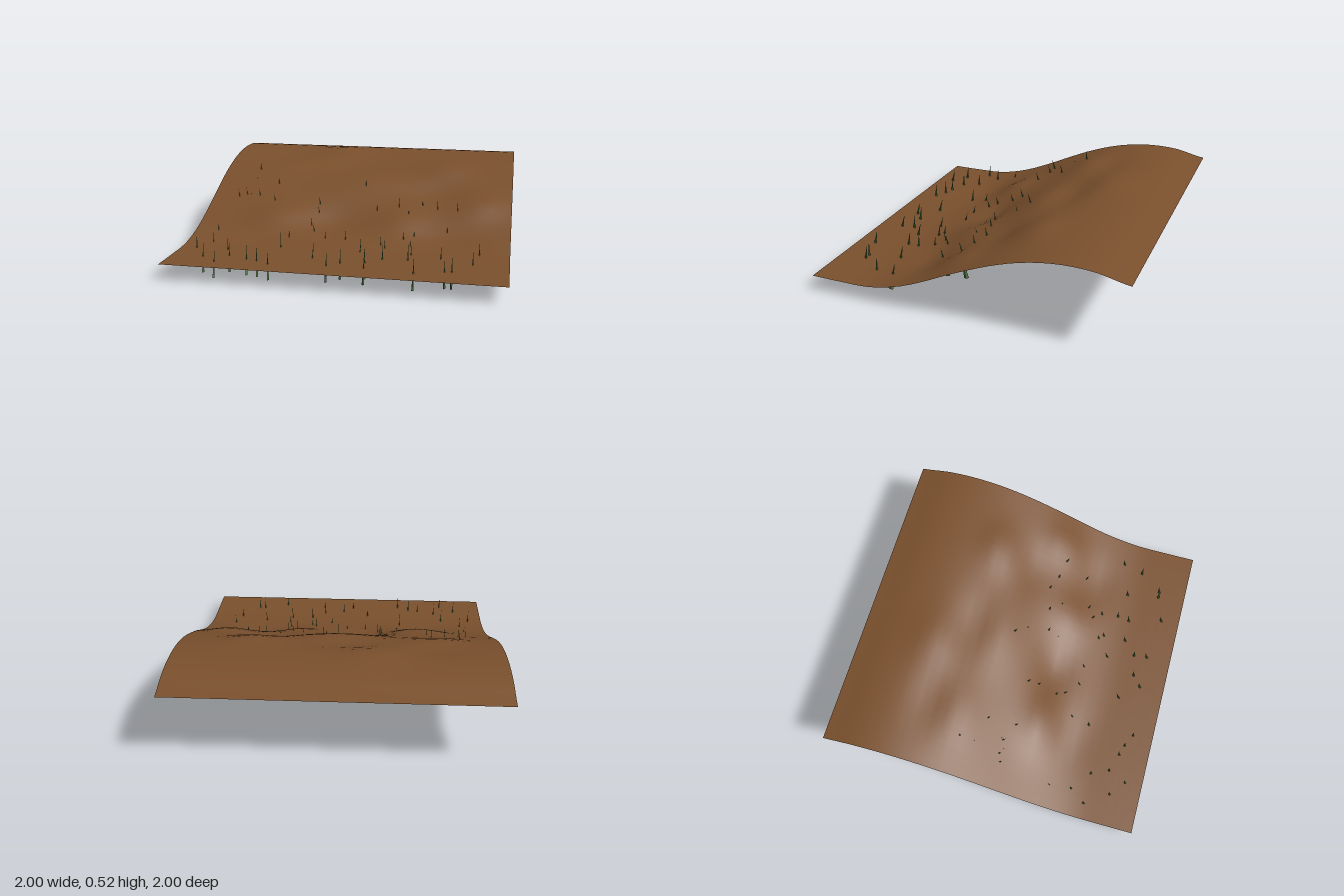
import * as THREE from 'three';

// Hillside profile, heights at even steps from the front (z = 1) to the back (z = -1)
const profile = new THREE.SplineCurve(
  [0.1, 0.1, 0.106, 0.152, 0.232, 0.327, 0.412, 0.473, 0.502, 0.497, 0.455]
    .map((y, i) => new THREE.Vector2(1 - i * 0.2, y)));

// Mounds and hollows: x, z, width, depth, height
const mounds = [
  [-0.1, 0.25, 0.2, 0.12, -0.04], [0.0, -0.12, 0.25, 0.12, 0.022],
  [-0.2, -0.55, 0.2, 0.14, 0.024], [-0.05, -0.33, 0.22, 0.1, -0.022],
  [-0.6, -0.24, 0.2, 0.11, 0.02], [-0.6, -0.44, 0.2, 0.1, -0.016],
  [0.55, -0.31, 0.17, 0.12, 0.03], [0.5, -0.05, 0.18, 0.1, -0.024],
  [0.6, 0.37, 0.2, 0.12, -0.022], [0.78, 0.1, 0.15, 0.12, 0.032],
  [-0.5, 0.26, 0.2, 0.12, 0.042], [-0.55, 0.5, 0.2, 0.1, -0.012],
  [0.3, 0.26, 0.14, 0.12, 0.025],
];

function groundHeight(x, z) {
  let y = profile.getPoint((1 - z) / 2).y;
  for (const [mx, mz, w, d, h] of mounds) {
    y += h * Math.exp(-(((x - mx) / w) ** 2) - ((z - mz) / d) ** 2);
  }
  return y;
}

// Blades that break through the soil: x, z
const blades = [
  [-0.75, -0.2], [-0.58, -0.07], [0.03, -0.07], [-0.82, 0.07], [-0.77, 0.05], [-0.68, 0.05],
  [-0.56, 0.1], [-0.25, 0.1], [-0.24, 0.17], [-0.26, 0.3], [-0.23, 0.35], [0.14, 0.14],
  [0.28, 0.11], [0.43, 0.07], [0.53, 0.11], [0.66, 0.13], [0.61, 0.29], [0.41, 0.36],
  [0.35, 0.4], [0.4, 0.47], [-0.85, 0.43], [-0.37, 0.46], [-0.14, 0.45], [-0.01, 0.45],
  [0.22, 0.49], [0.25, 0.52], [-0.83, 0.56], [-0.39, 0.57], [0.11, 0.58], [0.42, 0.58],
  [0.6, 0.61], [0.82, 0.54], [-0.9, 0.66], [-0.7, 0.66], [0.26, 0.67], [0.41, 0.66],
  [0.79, 0.67], [-0.15, 0.72], [0.03, 0.78], [0.17, 0.75], [0.18, 0.84], [-0.04, 0.84],
  [-0.8, 0.81], [-0.65, 0.77], [-0.53, 0.81], [-0.46, 0.83], [-0.38, 0.87], [-0.7, 0.89],
  [0.47, 0.88], [0.64, 0.82], [0.68, 0.82],
];

function seeded(seed) {
  return () => (seed = (seed * 16807) % 2147483647) / 2147483647;
}

export function createModel() {
  const model = new THREE.Group();
  const rand = seeded(41);

  // Ground sheet
  const sheet = new THREE.PlaneGeometry(2, 2, 32, 32).rotateX(-Math.PI / 2);
  const p = sheet.attributes.position;
  for (let i = 0; i < p.count; i++) p.setY(i, groundHeight(p.getX(i), p.getZ(i)));
  sheet.computeVertexNormals();
  const ground = new THREE.Mesh(sheet,
    new THREE.MeshStandardMaterial({ color: 0x7a502d, side: THREE.DoubleSide }));
  ground.name = 'ground';
  model.add(ground);

  // Grass: narrow pointed blades, flattened sideways
  const grass = new THREE.Group();
  grass.name = 'grass';
  const bladeShape = new THREE.ConeGeometry(0.017, 0.195, 4).scale(0.4, 1, 1);
  const green = new THREE.MeshStandardMaterial({ color: 0x558048, flatShading: true });
  function addBlade(x, y, z, lean) {
    const blade = new THREE.Mesh(bladeShape, green);
    blade.name = 'grassBlade';
    blade.position.set(x, Math.max(y, 0.101), z);
    blade.rotation.x = lean;
    grass.add(blade);
  }
  // On the flat they lean back, on the slope they lean forward
  for (const [x, z] of blades) {
    if (z > 0.4) addBlade(x, 0.1, z, -0.28 + 0.25 * rand());
    else addBlade(x, groundHeight(x, z) - 0.035, z, 0.12 + 0.22 * rand());
  }

  // Blades mostly buried under the slope
  for (let i = 0; i < 16; i++) {
    const x = -0.8 + 1.6 * rand();
    const z = -0.14 + 0.36 * rand();
    addBlade(x, groundHeight(x, z) - 0.07 - 0.09 * rand(), z, 0.12 + 0.22 * rand());
  }
  addBlade(-0.3, 0.315, -0.37, 0.05);
  addBlade(0.2, 0.15, -0.27, -0.35);
  model.add(grass);

  return model;
}
